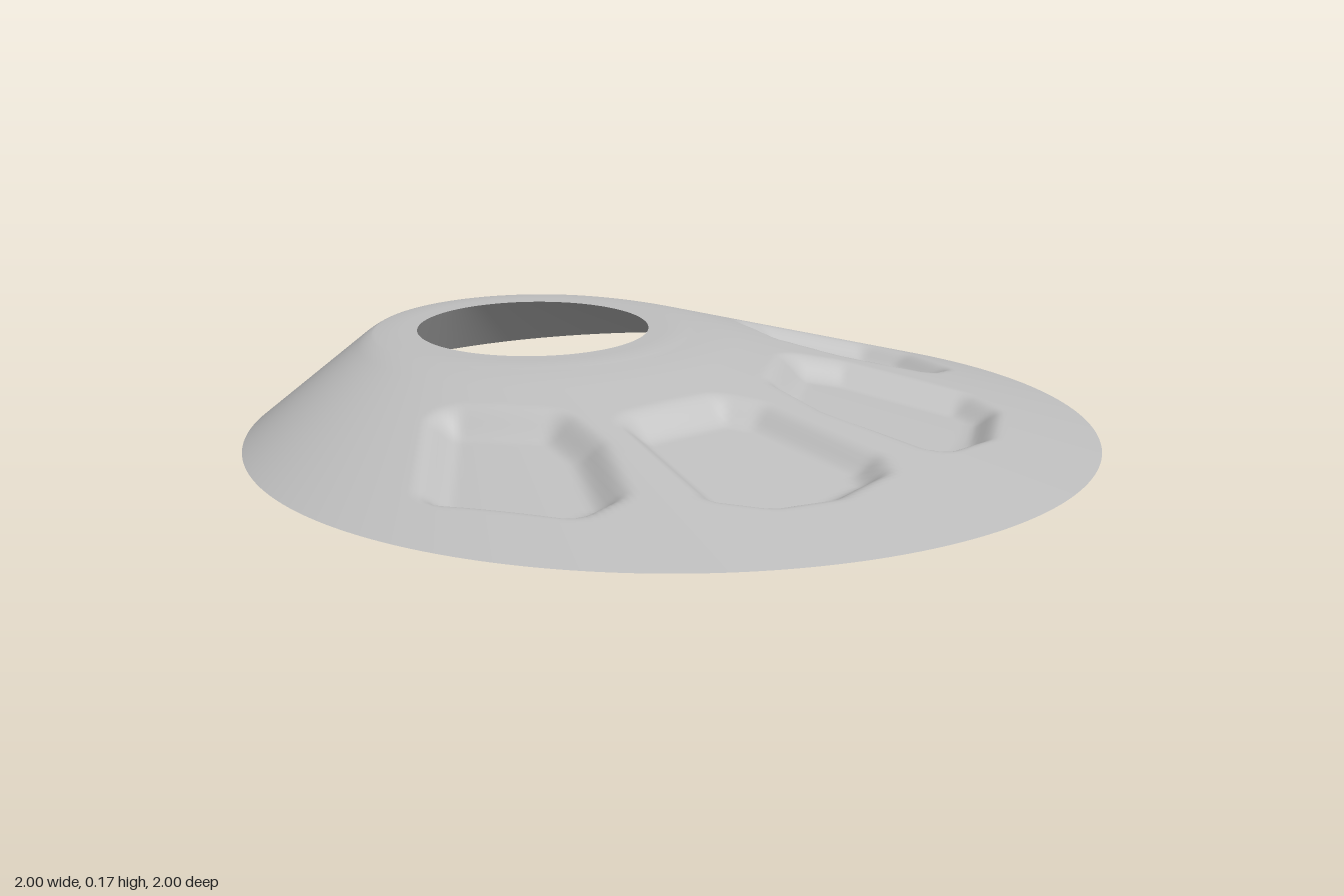
import * as THREE from 'three';

const HEIGHT = 0.17, HOLE_R = 0.286, TOP_R = 0.395, TOP_Z = -0.49;
const POCKET_DEPTH = 0.05, WALL = 0.085;

// Floor outlines of the four recesses, as [x, z] corners
const pockets = [
  [[-0.55, -0.12], [-0.44, 0.04], [-0.47, 0.16], [-0.58, 0.34], [-0.64, 0.34], [-0.76, 0.10]],
  [[-0.26, 0.20], [-0.06, 0.23], [-0.03, 0.28], [-0.02, 0.57], [-0.05, 0.61], [-0.20, 0.63], [-0.31, 0.59], [-0.36, 0.52]],
  [[0.37, 0.10], [0.22, 0.20], [0.20, 0.35], [0.24, 0.59], [0.36, 0.58], [0.52, 0.47], [0.54, 0.40], [0.43, 0.15]],
  [[0.59, -0.25], [0.55, -0.11], [0.60, 0.02], [0.71, 0.14], [0.77, 0.12], [0.81, -0.02], [0.80, -0.11], [0.64, -0.25]],
];

// Distance from a point to an outline, 0 inside
function outsideDistance(x, z, poly) {
  let best = Infinity, inside = false;
  poly.forEach(([ax, az], i) => {
    const [bx, bz] = poly[(i + 1) % poly.length];
    const ex = bx - ax, ez = bz - az;
    const t = THREE.MathUtils.clamp(((x - ax) * ex + (z - az) * ez) / (ex * ex + ez * ez), 0, 1);
    best = Math.min(best, Math.hypot(x - ax - t * ex, z - az - t * ez));
    if ((az > z) !== (bz > z) && x < ax + (ex * (z - az)) / ez) inside = !inside;
  });
  return inside ? 0 : best;
}

// Recess depth with soft sloping walls
function recess(x, z) {
  let depth = 0;
  for (const poly of pockets) {
    const d = outsideDistance(x, z, poly);
    depth = Math.max(depth, POCKET_DEPTH * (1 - THREE.MathUtils.smoothstep(d, 0, WALL)));
  }
  return depth;
}

// Flat collar running into the skewed cone through a small rounded shoulder
function shellHeight(s) {
  const cone = HEIGHT * (1 - s), k = 0.02;
  const h = Math.max(k - Math.abs(cone - HEIGHT), 0) / k;
  return Math.min(HEIGHT, cone) - (h * h * k) / 4;
}

export function createModel() {
  const rings = 110, sides = 300;
  const positions = [], indices = [];

  // Rings grow from the offset hole to the centred base circle
  for (let i = 0; i <= rings; i++) {
    const r = HOLE_R + (1 - HOLE_R) * (i / rings);
    const s = (r - TOP_R) / (1 - TOP_R);
    const blend = 1 - Math.max(s, 0);
    for (let j = 0; j < sides; j++) {
      const a = (j / sides) * Math.PI * 2;
      const x = 0.004 * blend + r * Math.cos(a);
      const z = TOP_Z * blend + r * Math.sin(a);
      const base = shellHeight(s), cut = recess(x, z);
      positions.push(x, cut > 0 ? Math.max(base - cut, Math.min(base, 0.005)) : base, z);
      if (i < rings) {
        const p = i * sides + j, q = i * sides + ((j + 1) % sides);
        indices.push(p, q, p + sides, q, q + sides, p + sides);
      }
    }
  }

  const geometry = new THREE.BufferGeometry();
  geometry.setAttribute('position', new THREE.Float32BufferAttribute(positions, 3));
  geometry.setIndex(indices);
  geometry.computeVertexNormals();

  const grey = new THREE.MeshStandardMaterial({ color: 0xc0c0c0, side: THREE.DoubleSide });
  grey.name = 'lightGrey';
  const shell = new THREE.Mesh(geometry, grey);
  shell.name = 'recessedShell';

  const group = new THREE.Group();
  group.name = 'skewedConeCover';
  group.add(shell);
  return group;
}
